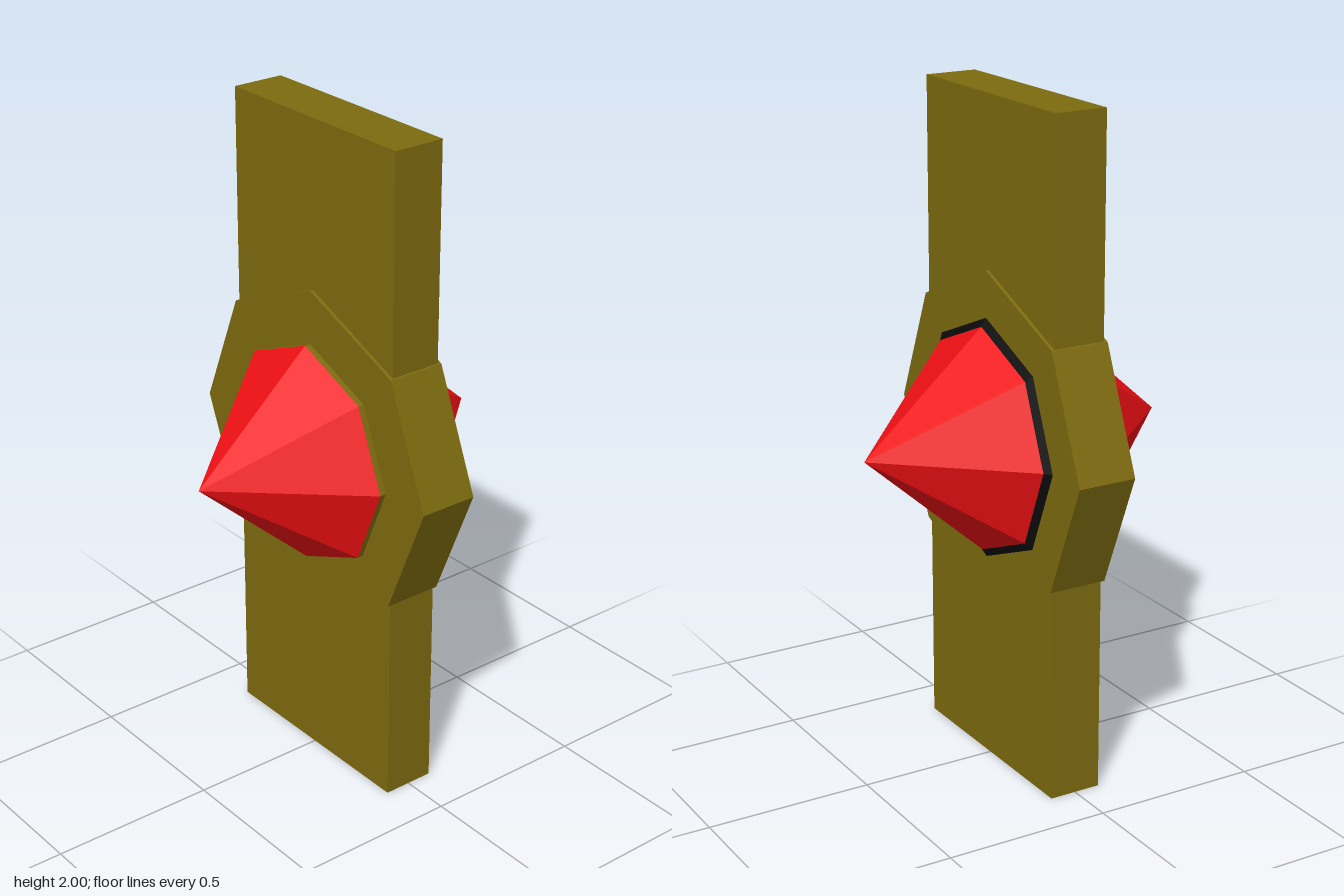
import * as THREE from 'three';

const material = (color) => new THREE.MeshStandardMaterial({ color, flatShading: true });

export function createModel() {
  const group = new THREE.Group();
  const gold = material(0x7d6b0f);
  const red = material(0xf01014);
  const black = material(0x0b0b0b);

  const add = (name, geometry, mat) => {
    const mesh = new THREE.Mesh(geometry, mat);
    mesh.name = name;
    group.add(mesh);
  };

  // Eight-sided solid lying along x, from x0 (radius r0) to x1 (radius r1)
  const octagon = (name, x0, r0, x1, r1, mat) => {
    const geometry = new THREE.CylinderGeometry(r1, r0, x1 - x0, 8);
    geometry.rotateZ(-Math.PI / 2);
    geometry.translate((x0 + x1) / 2, 1, 0);
    add(name, geometry, mat);
  };

  // Upright band, in two halves meeting at the centre
  for (const side of [-1, 1]) {
    const half = new THREE.BoxGeometry(0.16, 2, 0.35);
    half.translate(0, 1, side * 0.175);
    add(side > 0 ? 'frontBand' : 'backBand', half, gold);
  }

  // Central octagonal plate
  octagon('plate', -0.09, 0.5, 0.09, 0.5, gold);

  // Bevelled dark rim on one face, plain collar on the other
  octagon('rim', 0.088, 0.365, 0.105, 0.34, black);
  octagon('collar', -0.109, 0.337, -0.088, 0.337, gold);

  // Pointed gems
  octagon('leftGem', 0.105, 0.338, 0.485, 0, red);
  octagon('rightGem', -0.485, 0, -0.109, 0.338, red);

  return group;
}
